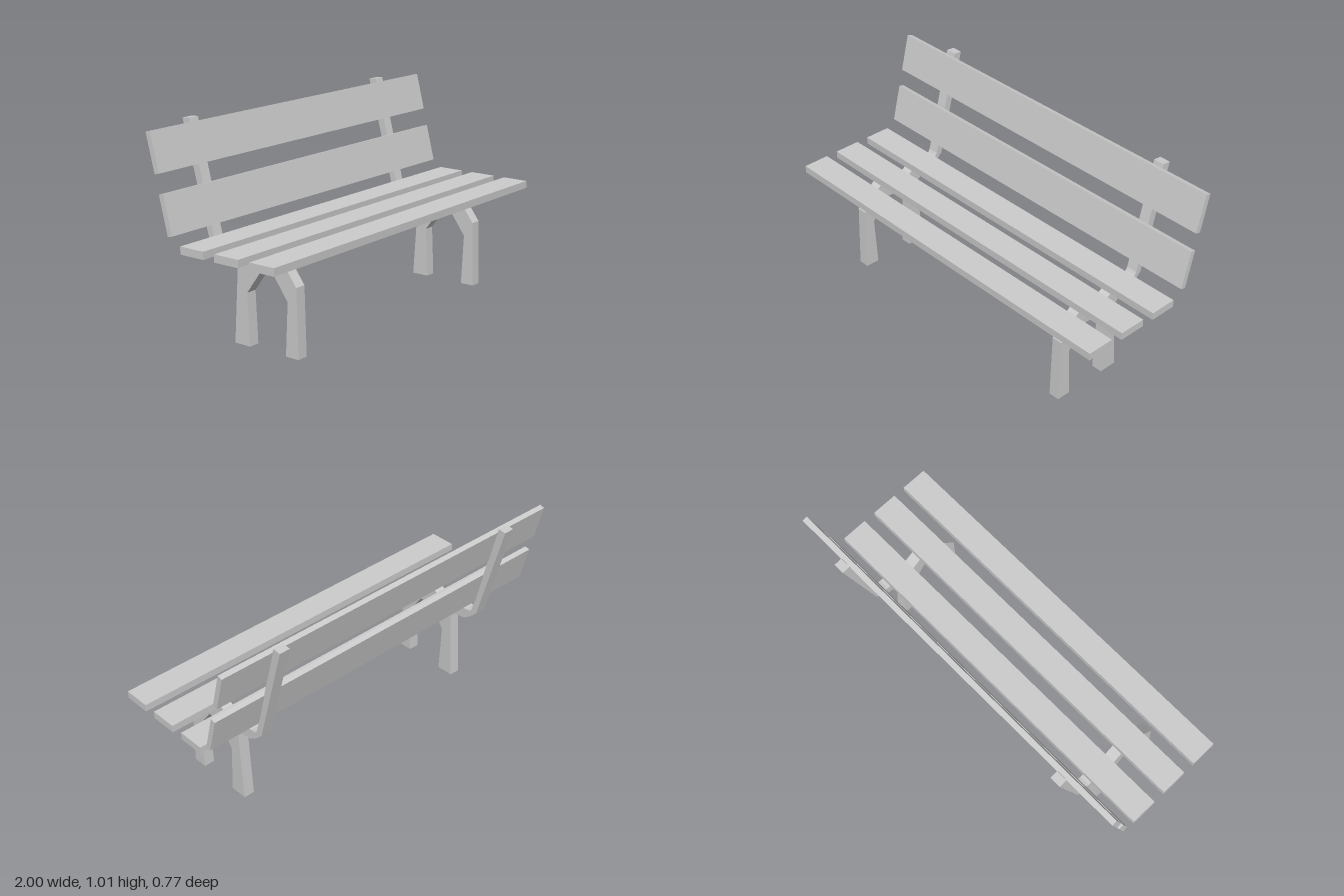
import * as THREE from 'three';

export function createModel() {
  const model = new THREE.Group();
  model.name = 'bench';
  const material = new THREE.MeshStandardMaterial({ color: 0xcccccc, flatShading: true });

  const add = (name, geometry, x, y, z) => {
    const mesh = new THREE.Mesh(geometry, material);
    mesh.name = name;
    mesh.position.set(x, y, z);
    model.add(mesh);
    return mesh;
  };

  // Side frame outline as (z, y): two legs, seat arch and back upright
  const outline = [
    [0.285, 0], [0.212, 0], [0.225, 0.255], [0.145, 0.365], [0.07, 0.365],
    [-0.012, 0.253], [0, 0], [-0.09, 0], [-0.066, 0.365], [-0.097, 0.395],
    [-0.157, 0.402], [-0.2, 0.432], [-0.238, 0.47], [-0.385, 1.007], [-0.343, 1.011],
    [-0.207, 0.48], [-0.198, 0.465], [-0.165, 0.459], [-0.098, 0.464], [-0.057, 0.46],
    [-0.01, 0.427], [0.055, 0.468], [0.145, 0.468], [0.208, 0.42], [0.275, 0.33],
  ];
  const frameWidth = 0.056;
  const frame = new THREE.ExtrudeGeometry(
    new THREE.Shape(outline.map(([z, y]) => new THREE.Vector2(z, y))),
    { depth: frameWidth, bevelEnabled: false },
  );
  frame.translate(0, 0, -frameWidth / 2).rotateY(-Math.PI / 2);
  add('leftFrame', frame, 0.697, 0, 0);
  add('rightFrame', frame, -0.697, 0, 0);

  // Three flat seat slats
  const seatSlat = new THREE.BoxGeometry(2, 0.037, 0.137);
  [0.319, 0.119, -0.082].forEach((z, i) => add(`seatSlat${i + 1}`, seatSlat, 0, 0.487, z));

  // Two back slats leaning with the uprights
  const backSlat = new THREE.BoxGeometry(2, 0.19, 0.027);
  [[0.63, -0.2345], [0.902, -0.3035]].forEach(([y, z], i) => {
    add(`backSlat${i + 1}`, backSlat, 0, y, z).rotation.x = -0.25;
  });

  return model;
}
